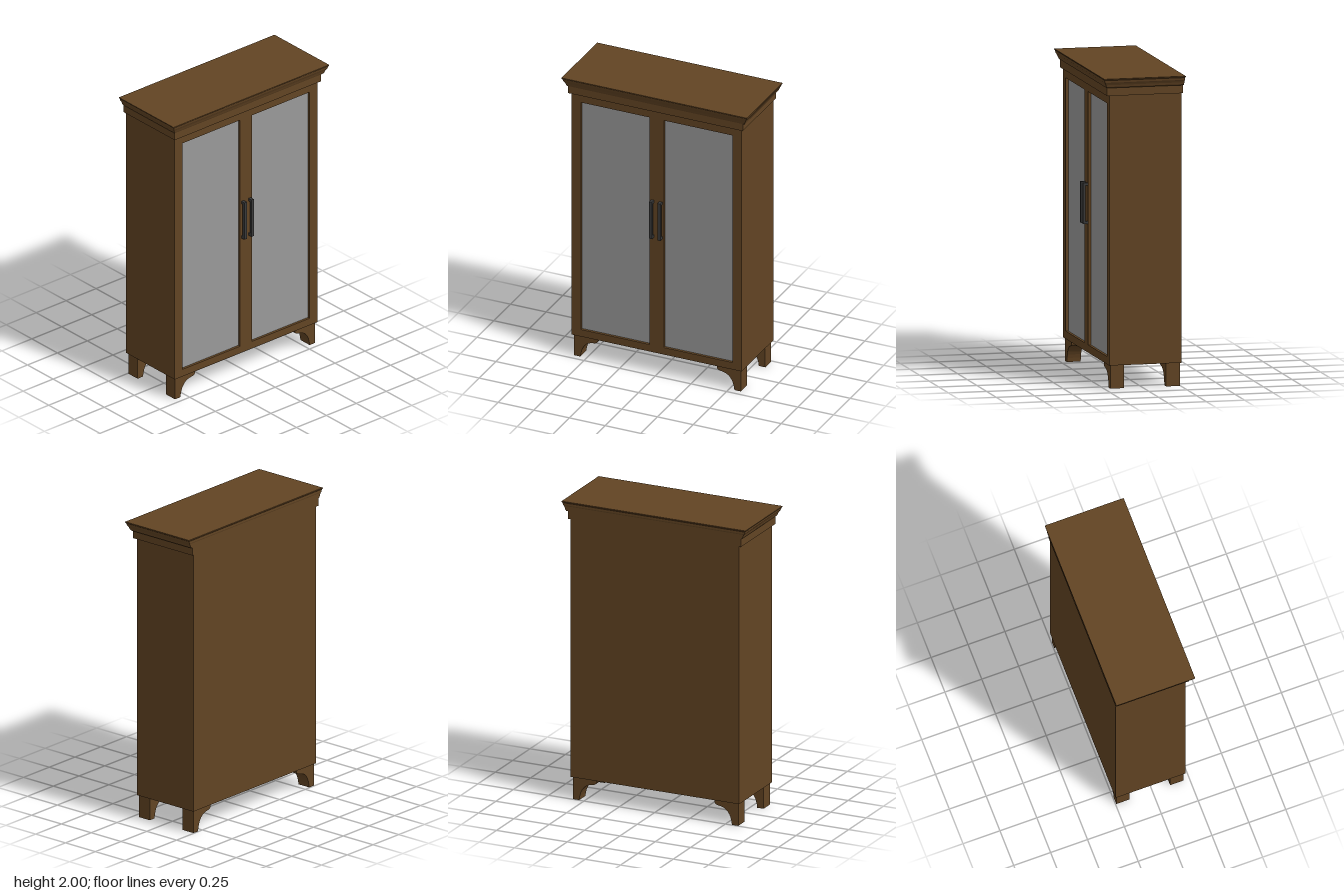
import * as THREE from 'three';

const wood = new THREE.MeshStandardMaterial({ color: 0x624423, flatShading: true });
const glass = new THREE.MeshStandardMaterial({ color: 0x999999 });
const metal = new THREE.MeshStandardMaterial({ color: 0x3a3a3a });

const CX = -0.004; // centre line of the carcass

function add(parent, name, geometry, material) {
  const mesh = new THREE.Mesh(geometry, material);
  mesh.name = name;
  parent.add(mesh);
  return mesh;
}

// Box given by its minimum and maximum corners
function box(parent, name, [x0, y0, z0], [x1, y1, z1], material) {
  const mesh = add(parent, name, new THREE.BoxGeometry(x1 - x0, y1 - y0, z1 - z0), material);
  mesh.position.set((x0 + x1) / 2, (y0 + y1) / 2, (z0 + z1) / 2);
  return mesh;
}

function rect(Type, x0, y0, x1, y1) {
  return new Type().moveTo(x0, y0).lineTo(x1, y0).lineTo(x1, y1).lineTo(x0, y1).closePath();
}

// Closed solid stacked from rectangles: [half width, front z, back z, y], bottom to top
function stackedRectangles(levels) {
  const pos = [], idx = [];
  for (const [w, f, b, y] of levels) pos.push(-w, y, f, w, y, f, w, y, b, -w, y, b);
  for (let i = 0; i < levels.length - 1; i++) {
    for (let k = 0; k < 4; k++) {
      const a = i * 4 + k, c = i * 4 + (k + 1) % 4;
      idx.push(a, c, c + 4, a, c + 4, a + 4);
    }
  }
  const t = (levels.length - 1) * 4;
  idx.push(0, 2, 1, 0, 3, 2, t, t + 1, t + 2, t, t + 2, t + 3);
  const indexed = new THREE.BufferGeometry();
  indexed.setAttribute('position', new THREE.Float32BufferAttribute(pos, 3));
  indexed.setIndex(idx);
  const geometry = indexed.toNonIndexed();
  geometry.computeVertexNormals();
  return geometry;
}

// Bracket foot, outer edge at x = 0 and curving inwards along +x
function footGeometry() {
  const s = new THREE.Shape();
  s.moveTo(0, 0).lineTo(0.045, 0);
  s.bezierCurveTo(0.052, 0.075, 0.085, 0.112, 0.14, 0.116);
  s.quadraticCurveTo(0.168, 0.12, 0.168, 0.14);
  s.lineTo(0.168, 0.152).lineTo(0, 0.152).closePath();
  return new THREE.ExtrudeGeometry(s, { depth: 0.09, bevelEnabled: false, curveSegments: 8 });
}

export function createModel() {
  const model = new THREE.Group();
  model.name = 'cabinet';

  // Carcass
  box(model, 'carcass', [CX - 0.596, 0.15, -0.254], [CX + 0.596, 1.9, 0.195], wood);

  // Front frame with two openings
  const frame = rect(THREE.Shape, CX - 0.596, 0.15, CX + 0.596, 1.9);
  for (const s of [-1, 1]) {
    frame.holes.push(rect(THREE.Path, CX + s * 0.291 - 0.241, 0.2, CX + s * 0.291 + 0.241, 1.827));
  }
  const frameGeometry = new THREE.ExtrudeGeometry(frame, { depth: 0.025, bevelEnabled: false });
  add(model, 'doorFrame', frameGeometry, wood).position.z = 0.195;

  for (const s of [-1, 1]) {
    const side = s > 0 ? 'left' : 'right';

    // Recessed pane
    const px = CX + s * 0.291;
    box(model, side + 'Pane', [px - 0.241, 0.2, 0.19], [px + 0.241, 1.827, 0.203], glass);

    // Bar handle on two short posts
    const handle = new THREE.Group();
    handle.name = side + 'Handle';
    const hx = CX + s * 0.0295;
    box(handle, 'grip', [hx - 0.01, 0.975, 0.234], [hx + 0.01, 1.24, 0.25], metal);
    for (const y of [0.975, 1.222]) {
      box(handle, 'post', [hx - 0.01, y, 0.218], [hx + 0.01, y + 0.018, 0.236], metal);
    }
    model.add(handle);

    // Bracket feet, mirrored by turning each one about y
    for (const zMid of [0.165, -0.2]) {
      const foot = add(model, side + (zMid > 0 ? 'Front' : 'Back') + 'Foot', footGeometry(), wood);
      foot.rotation.y = s > 0 ? Math.PI : 0;
      foot.position.set(CX + s * 0.585, 0, zMid + s * 0.045);
    }
  }

  // Frieze under the cornice
  box(model, 'frieze', [CX - 0.612, 1.885, -0.259], [CX + 0.612, 1.945, 0.238], wood);

  // Stepped cornice moulding, flush at the back
  add(model, 'cornice', stackedRectangles([
    [0.62, 0.243, -0.262, 1.938],
    [0.626, 0.247, -0.262, 1.946],
    [0.63, 0.251, -0.262, 1.958],
    [0.636, 0.256, -0.262, 1.969],
    [0.641, 0.26, -0.264, 1.975],
    [0.645, 0.264, -0.264, 1.99],
    [0.65, 0.267, -0.267, 1.994],
    [0.65, 0.267, -0.267, 2.0],
  ]), wood);

  return model;
}
